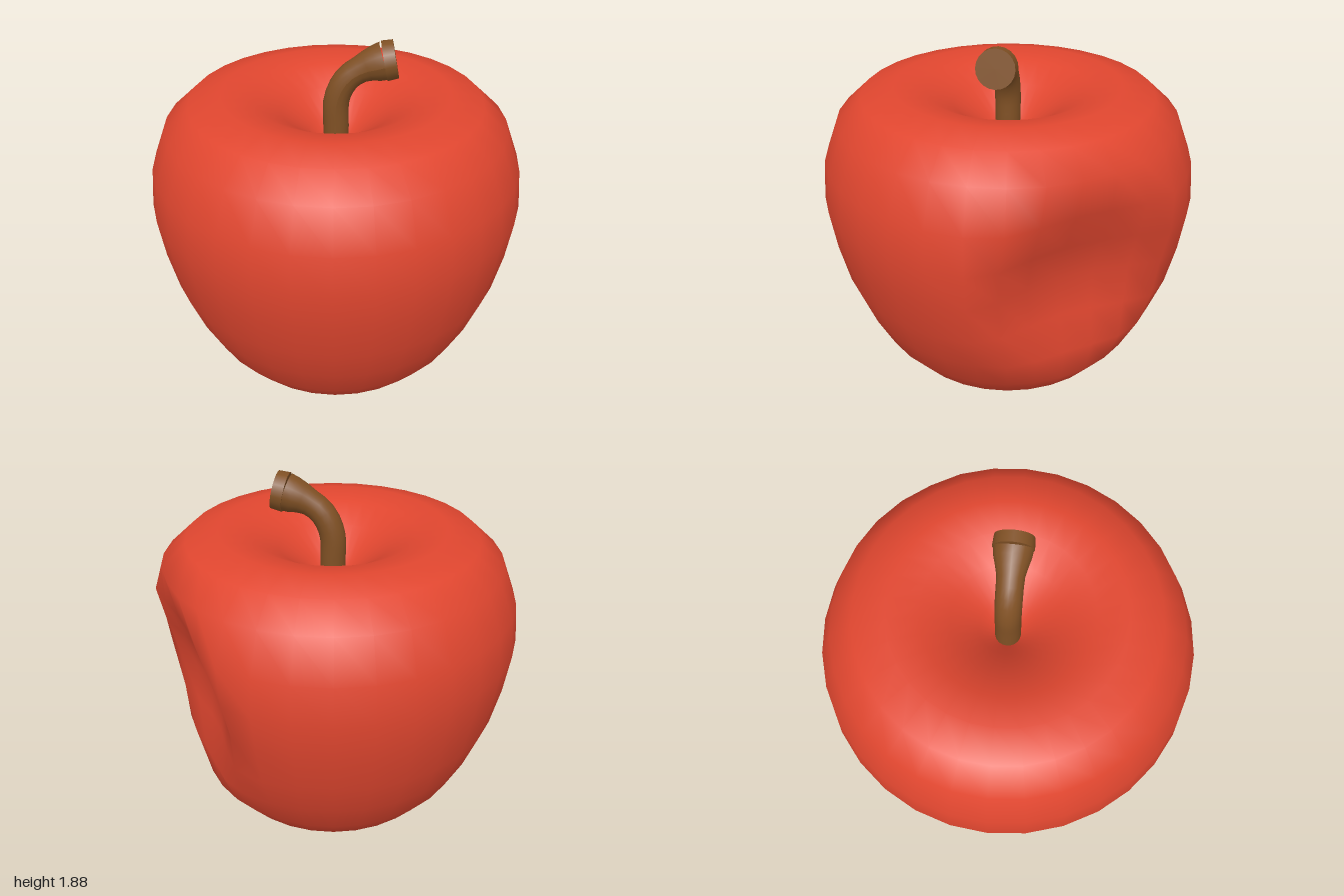
import * as THREE from 'three';
import { mergeVertices } from 'three/addons/utils/BufferGeometryUtils.js';

// Fruit body: a lathed profile with dimples at both ends and one soft hollow in its side
function bodyGeometry() {
  const profile = [
    [0, 0.23], [0.1, 0.2], [0.21, 0.12], [0.35, 0.03], [0.5, 0], [0.63, 0.06], [0.75, 0.21],
    [0.845, 0.4], [0.92, 0.6], [0.97, 0.82], [1, 1.03], [0.98, 1.24], [0.9, 1.45],
    [0.77, 1.57], [0.6, 1.61], [0.44, 1.58], [0.29, 1.5], [0.15, 1.38], [0.06, 1.28], [0, 1.24],
  ].map(([r, y]) => new THREE.Vector2(r, y));
  let geo = new THREE.LatheGeometry(profile, 32);
  geo.deleteAttribute('uv');
  geo.deleteAttribute('normal');
  geo = mergeVertices(geo, 1e-4);

  // Push the surface inwards around the hollow's centre
  const inward = new THREE.Vector3(-Math.cos(0.64), 0, Math.sin(0.64));
  const centre = inward.clone().multiplyScalar(-0.97).setY(0.86);
  const radius = 0.62, depth = 0.27;
  const pos = geo.attributes.position;
  const v = new THREE.Vector3();
  for (let i = 0; i < pos.count; i++) {
    v.fromBufferAttribute(pos, i);
    const t = v.distanceTo(centre) / radius;
    if (t < 1) v.addScaledVector(inward, depth * (1 - t * t) ** 1.5);
    pos.setXYZ(i, v.x, v.y, v.z);
  }
  geo.computeVertexNormals();
  return geo;
}

// Tube along a curve whose radius changes from ring to ring
function taperedTube(curve, steps, sides, radiusAt) {
  const geo = new THREE.TubeGeometry(curve, steps, 1, sides, false);
  const pos = geo.attributes.position;
  const v = new THREE.Vector3();
  for (let i = 0; i < pos.count; i++) {
    const u = Math.floor(i / (sides + 1)) / steps;
    const c = curve.getPointAt(u);
    v.fromBufferAttribute(pos, i).sub(c).multiplyScalar(radiusAt(u)).add(c);
    pos.setXYZ(i, v.x, v.y, v.z);
  }
  geo.computeVertexNormals();
  return geo;
}

export function createModel() {
  const model = new THREE.Group();
  model.name = 'apple';
  const mat = (name, color) => {
    const m = new THREE.MeshStandardMaterial({ color });
    m.name = name;
    return m;
  };
  const red = mat('red skin', 0xe0462f);
  const brown = mat('brown stem', 0x7f5024);
  const olive = mat('olive calyx', 0x55491f);
  const add = (name, geo, material, parent = model) => {
    const mesh = new THREE.Mesh(geo, material);
    mesh.name = name;
    parent.add(mesh);
    return mesh;
  };

  add('body', bodyGeometry(), red);

  // Bent stem, flaring towards a flat cut end
  const stem = new THREE.Group();
  stem.name = 'stem';
  model.add(stem);
  const path = new THREE.CatmullRomCurve3([
    [0, 1.18], [0, 1.4], [0.005, 1.57], [0.06, 1.68], [0.15, 1.741], [0.25, 1.775],
  ].map(([x, y]) => new THREE.Vector3(x, y, 0)));
  const flare = (u) => 0.068 + 0.032 * THREE.MathUtils.smoothstep(u, 0.78, 1);
  add('stemShaft', taperedTube(path, 16, 20, flare), brown, stem);

  const axis = new THREE.Vector3(0.98, 0.19, 0).normalize();
  const tip = add('stemEnd', new THREE.CylinderGeometry(0.1, 0.104, 0.06, 20), brown, stem);
  tip.quaternion.setFromUnitVectors(new THREE.Vector3(0, 1, 0), axis);
  tip.position.set(0.276, 1.779, 0);

  // Small dried calyx inside the bottom dimple
  const calyx = add('calyx', new THREE.CylinderGeometry(0.06, 0.045, 0.1, 10), olive);
  calyx.position.y = 0.21;

  return model;
}
